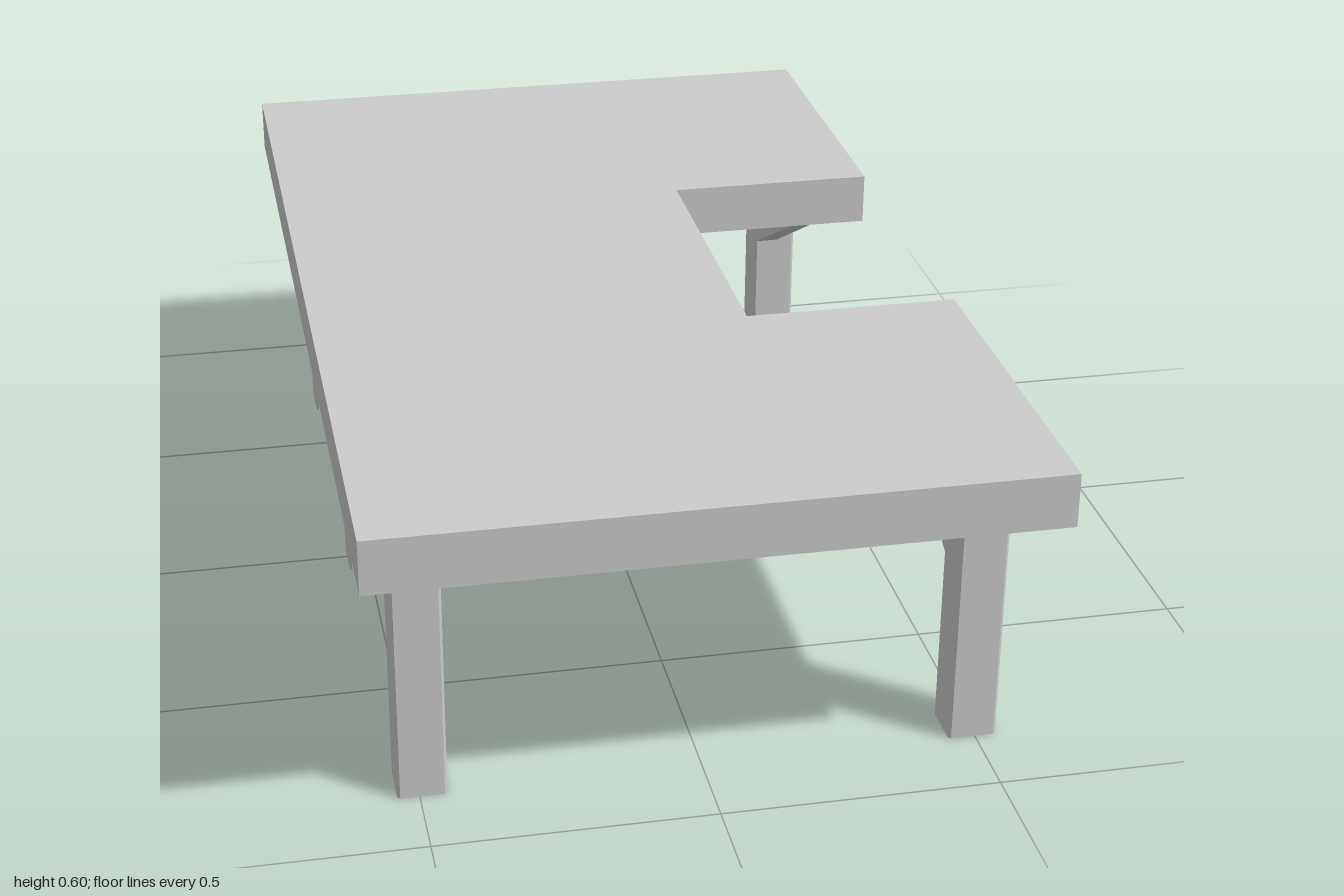
import * as THREE from 'three';

const material = new THREE.MeshStandardMaterial({ color: 0xcccccc, flatShading: true });

const extrude = (points, depth) => new THREE.ExtrudeGeometry(
  new THREE.Shape(points.map(([a, b]) => new THREE.Vector2(a, b))),
  { depth, bevelEnabled: false });

// Outline in (x, -z), raised from y0 to y1
const slab = (points, y0, y1) =>
  extrude(points, y1 - y0).rotateX(-Math.PI / 2).translate(0, y0, 0);

// Outline in (z, y), spanning x0 to x1
const profile = (points, x0, x1) =>
  extrude(points, x1 - x0).rotateY(-Math.PI / 2).translate(x1, 0, 0);

export function createModel() {
  const group = new THREE.Group();
  const add = (name, geometry, x = 0, z = 0) => {
    const mesh = new THREE.Mesh(geometry, material);
    mesh.name = name;
    mesh.position.set(x, 0, z);
    group.add(mesh);
  };

  const deckBottom = 0.5, deckTop = 0.6, notch = 0.333;

  // Deck with a stairwell cut into its +x edge
  add('deck', slab([
    [-0.6, -1], [0.6, -1], [0.6, -notch], [0.2, -notch],
    [0.2, notch], [0.6, notch], [0.6, 1], [-0.6, 1],
  ], deckBottom, deckTop));

  // Square posts with slightly chamfered corners
  const h = 0.044, c = h - 0.005;
  const post = slab([
    [-c, -h], [c, -h], [h, -c], [h, c], [c, h], [-c, h], [-h, c], [-h, -c],
  ], 0, deckBottom);
  const postX = 0.495, frontZ = 0.808, backZ = -0.703;
  for (const [name, x, z] of [
    ['frontLeftPost', postX, frontZ], ['backLeftPost', postX, backZ],
    ['frontRightPost', -postX, frontZ], ['middleRightPost', -postX, 0.01],
    ['backRightPost', -postX, backZ],
  ]) add(name, post, x, z);

  // Diagonal braces on the stair side, leaning from the posts to the deck
  for (const [name, z, dir] of [['frontBrace', frontZ, -1], ['backBrace', backZ, 1]]) {
    const points = [[0.04, 0.325], [0.36, 0.5], [0.285, 0.5], [0.04, 0.364]];
    add(name, profile(points.map(([d, y]) => [z + dir * d, y]), 0.455, 0.5));
  }

  // Stair flight and bottom landing as one stepped profile
  const step = 0.04, steps = 14, foot = notch - step * steps;
  const stair = [[notch, deckTop], [notch, deckTop - step], [foot, 0], [-0.467, 0], [-0.467, step]];
  for (let i = 0; i < steps; i++) {
    stair.push([foot + i * step, (i + 1) * step], [foot + i * step, (i + 2) * step]);
  }
  add('stairs', profile(stair.reverse(), 0.2, 0.6));

  return group;
}
